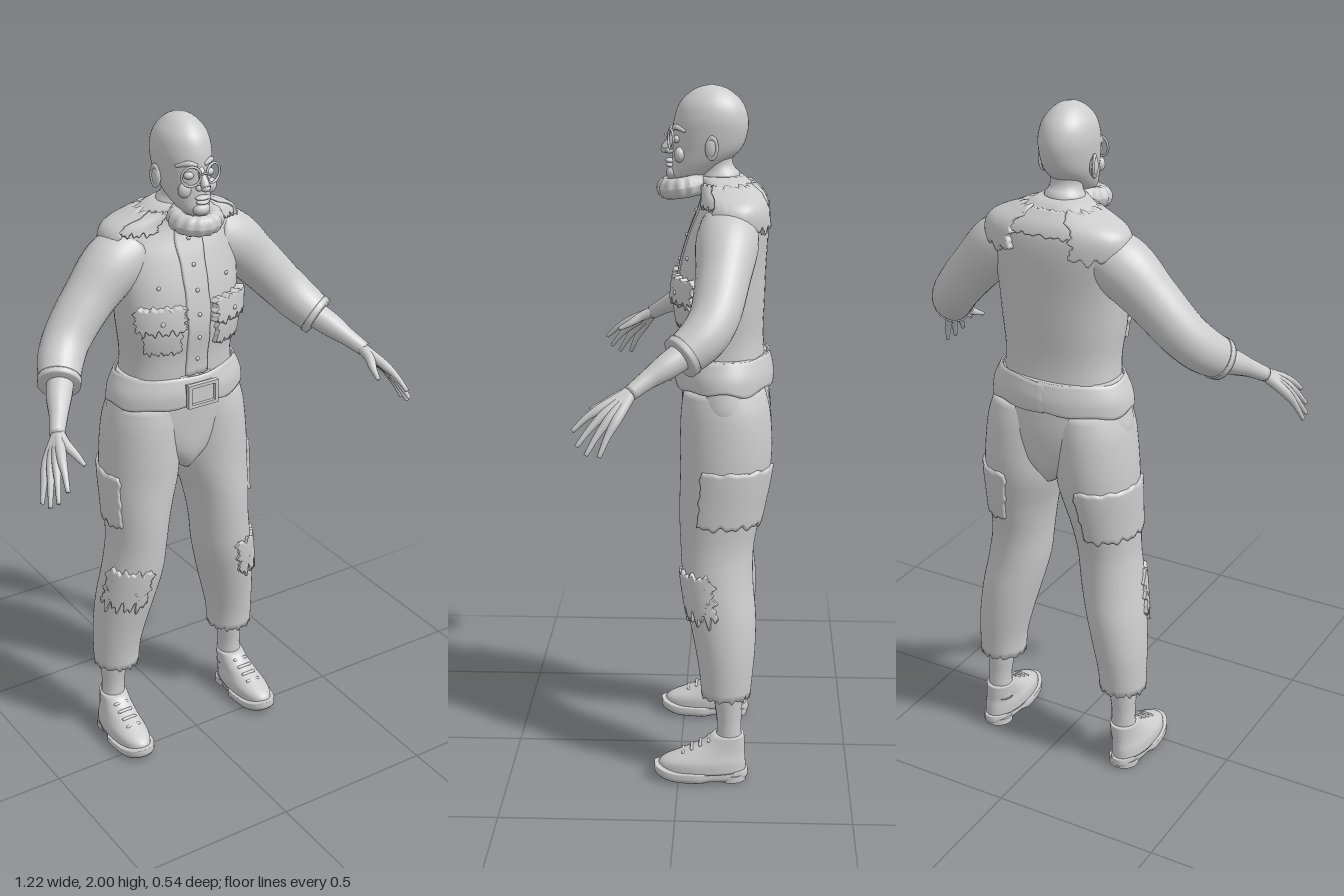
import * as THREE from 'three';

const material = new THREE.MeshStandardMaterial({ color: 0xcccccc });
material.name = 'light grey';

// Quad grid from a point function; wrap joins the first and last column
function grid(nu, nv, f, wrap = false) {
  const pos = [], idx = [], cols = wrap ? nu : nu + 1;
  for (let j = 0; j <= nv; j++) for (let i = 0; i < cols; i++) pos.push(...f(i, j));
  for (let j = 0; j < nv; j++) for (let i = 0; i < nu; i++) {
    const k = (i + 1) % cols, a = j * cols + i, b = j * cols + k;
    idx.push(a, b, b + cols, a, b + cols, a + cols);
  }
  const g = new THREE.BufferGeometry();
  g.setAttribute('position', new THREE.Float32BufferAttribute(pos, 3));
  g.setIndex(idx);
  g.computeVertexNormals();
  return g;
}

// Smooth body profile from sections [y, cx, cz, rx, rz], lowest first
function profile(s, e = 1) {
  const at = y => {
    let i = 0;
    while (i < s.length - 2 && y > s[i + 1][0]) i++;
    const a = s[i], b = s[i + 1], h = b[0] - a[0], t = Math.min(1, Math.max(0, (y - a[0]) / h));
    const p = s[Math.max(0, i - 1)], n = s[Math.min(s.length - 1, i + 2)];
    return [1, 2, 3, 4].map(k => {
      const m0 = (b[k] - p[k]) / (b[0] - p[0]) * h, m1 = (n[k] - a[k]) / (n[0] - a[0]) * h;
      const t2 = t * t, t3 = t2 * t;
      return (2 * t3 - 3 * t2 + 1) * a[k] + (t3 - 2 * t2 + t) * m0 + (3 * t2 - 2 * t3) * b[k] + (t3 - t2) * m1;
    });
  };
  const pw = v => Math.sign(v) * Math.abs(v) ** e;
  const point = (t, y, off = 0) => {
    const [cx, cz, rx, rz] = at(y);
    return [cx + (rx + off) * pw(Math.sin(t)), y, cz + (rz + off) * pw(Math.cos(t))];
  };
  return { point, at, low: s[0][0], high: s[s.length - 1][0] };
}

const ragged = t => Math.sin(t * 13) * 0.5 + Math.sin(t * 23 + 1) * 0.5;

// Closed skin of a profile, capped at both ends, with an optional ragged hem
function skin(p, nv = 36, hem = 0) {
  const nu = 48;
  return grid(nu, nv + 2, (i, j) => {
    const v = Math.min(1, Math.max(0, (j - 1) / nv)), t = i / nu * Math.PI * 2;
    const y = p.low + (p.high - p.low) * v;
    if (j === 0 || j === nv + 2) { const c = p.at(y); return [c[0], y, c[1]]; }
    const q = p.point(t, y);
    if (j === 1) q[1] += hem * ragged(t);
    return q;
  }, true);
}

// Raised cloth piece following a profile, with a folded, frayed edge
function patch(p, t0, t1, y0, y1, off, jag = 0, nu = 44, nv = 16) {
  const c = (i, n) => Math.min(1, Math.max(0, (i - 1) / (n - 2)));
  return grid(nu, nv, (i, j) => {
    const edge = i === 0 || j === 0 || i === nu || j === nv, u = c(i, nu), v = c(j, nv);
    const t = t0 + (t1 - t0) * u + jag * 4 * ragged(v * 1.3) * (2 * u - 1);
    const y = y0 + (y1 - y0) * v + jag * ragged(u * 2.2) * (1 - v) + jag * 0.4 * ragged(u * 1.7 + 2) * v;
    return p.point(t, y, edge ? -0.004 : off);
  });
}

// Tapered round limb through points [x, y, z, radius]
function limb(pts, nu = 16, nv = 20) {
  const curve = new THREE.CatmullRomCurve3(pts.map(p => new THREE.Vector3(p[0], p[1], p[2])));
  const rad = new THREE.CatmullRomCurve3(pts.map(p => new THREE.Vector3(p[3], 0, 0)));
  const up = new THREE.Vector3(0.3, 1, 0.2);
  return grid(nu, nv + 2, (i, j) => {
    const v = Math.min(1, Math.max(0, (j - 1) / nv)), c = curve.getPoint(v), d = curve.getTangent(v);
    const r = j === 0 || j === nv + 2 ? 0 : rad.getPoint(v).x;
    const a = new THREE.Vector3().crossVectors(up, d).normalize(), b = new THREE.Vector3().crossVectors(d, a);
    const t = i / nu * Math.PI * 2;
    return c.addScaledVector(a, r * Math.cos(t)).addScaledVector(b, r * Math.sin(t)).toArray();
  }, true);
}

function mirrored(g) {
  const m = g.clone().scale(-1, 1, 1), ix = m.index;
  for (let i = 0; i < ix.count; i += 3) {
    const a = ix.getX(i);
    ix.setX(i, ix.getX(i + 1));
    ix.setX(i + 1, a);
  }
  m.computeVertexNormals();
  return m;
}

const ball = (x, y, z, a, b, c) => new THREE.SphereGeometry(1, 20, 14).scale(a, b, c).translate(x, y, z);

export function createModel() {
  const model = new THREE.Group();
  const add = (name, g) => {
    const m = new THREE.Mesh(g, material);
    m.name = name;
    model.add(m);
  };
  const both = (name, g) => { add(name + 'Left', g); add(name + 'Right', mirrored(g)); };

  // Shirt body
  const torso = profile([
    [1.2, 0, -0.125, 0.175, 0.12], [1.3, 0, -0.118, 0.17, 0.118], [1.4, 0, -0.113, 0.182, 0.126],
    [1.5, 0, -0.12, 0.19, 0.122], [1.6, 0, -0.137, 0.2, 0.11], [1.66, 0, -0.147, 0.205, 0.096],
    [1.695, 0, -0.145, 0.182, 0.085], [1.725, 0, -0.13, 0.11, 0.072], [1.75, 0, -0.115, 0.065, 0.06]], 0.85);
  add('shirt', skin(torso, 40));
  add('buttonPlacket', patch(torso, -0.15, 0.15, 1.25, 1.7, 0.005, 0.003, 12, 30));
  for (let i = 0; i < 6; i++) add('shirtButton', ball(...torso.point(0, 1.3 + i * 0.07, 0.006), 0.006, 0.006, 0.005));
  both('chestPocket', patch(torso, 0.26, 0.95, 1.335, 1.45, 0.013, 0.008));
  both('pocketFlap', patch(torso, 0.2, 1.05, 1.405, 1.475, 0.022, 0.012));
  both('pocketButton', ball(...torso.point(0.55, 1.435, 0.022), 0.007, 0.007, 0.005));
  both('chestStud', ball(...torso.point(0.55, 1.53, 0.001), 0.006, 0.006, 0.005));

  // Shoulder yoke and back strip
  both('shoulderYoke', patch(torso, 1.1, 2.75, 1.615, 1.73, 0.013, 0.014));
  both('frontYoke', patch(torso, 0.4, 1.3, 1.675, 1.73, 0.009, 0.008));
  add('backStrip', patch(torso, 2.7, 3.58, 1.67, 1.73, 0.007, 0.005));

  // Sleeves and bare forearms
  both('sleeve', limb([[0.12, 1.615, -0.135, 0.08], [0.19, 1.583, -0.132, 0.087], [0.275, 1.505, -0.122, 0.075],
    [0.36, 1.412, -0.1, 0.068], [0.4, 1.365, -0.068, 0.065], [0.433, 1.325, -0.018, 0.058]], 28, 28));
  both('cuff', limb([[0.427, 1.331, -0.027, 0.062], [0.437, 1.321, -0.012, 0.06]], 28, 3));
  both('forearm', limb([[0.41, 1.345, -0.045, 0.04], [0.455, 1.305, 0.02, 0.036], [0.485, 1.275, 0.07, 0.026],
    [0.515, 1.245, 0.115, 0.021]]));

  // Hands with four fingers and a thumb
  const wrist = [0.508, 1.25, 0.11, 0.017];
  const tips = [[0.565, 1.155, 0.263], [0.587, 1.12, 0.25], [0.6, 1.1, 0.225], [0.606, 1.097, 0.19]];
  tips.forEach((tip, i) => {
    const base = [0.54 + i * 0.009, 1.213 - i * 0.009, 0.186 - i * 0.013];
    const mid = base.map((b, k) => (b + tip[k]) / 2 + (k === 1 ? 0.006 : 0));
    both('finger', limb([wrist, [...base, 0.014], [...mid, 0.0095], [...tip, 0.006]], 10, 14));
  });
  both('thumb', limb([wrist, [0.508, 1.232, 0.15, 0.015], [0.497, 1.212, 0.185, 0.011], [0.49, 1.195, 0.22, 0.006]], 10, 14));

  // Trousers
  const hips = profile([[0.925, 0, -0.13, 0.02, 0.085], [0.96, 0, -0.13, 0.07, 0.106], [1.0, 0, -0.13, 0.13, 0.118],
    [1.08, 0, -0.13, 0.215, 0.126], [1.16, 0, -0.126, 0.212, 0.127], [1.25, 0, -0.123, 0.18, 0.122]]);
  add('trouserSeat', skin(hips));
  const leg = profile([[0.26, 0.21, -0.138, 0.07, 0.072], [0.32, 0.208, -0.138, 0.072, 0.077], [0.4, 0.198, -0.135, 0.08, 0.087],
    [0.5, 0.18, -0.125, 0.088, 0.098], [0.6, 0.16, -0.112, 0.092, 0.102], [0.7, 0.147, -0.109, 0.09, 0.106],
    [0.8, 0.138, -0.117, 0.098, 0.118], [0.92, 0.122, -0.13, 0.116, 0.129], [1.0, 0.118, -0.132, 0.116, 0.132],
    [1.1, 0.11, -0.13, 0.112, 0.127], [1.16, 0.1, -0.126, 0.105, 0.115]]);
  both('trouserLeg', skin(leg, 44, 0.009));
  both('thighPocket', patch(leg, 1.05, 3.2, 0.775, 0.94, 0.008, 0.009));
  both('kneePatch', patch(leg, -0.05, 1.45, 0.505, 0.63, 0.009, 0.026));

  // Waistband and buckle
  const waist = profile([[1.15, 0, -0.124, 0.217, 0.14], [1.2, 0, -0.123, 0.21, 0.141], [1.25, 0, -0.123, 0.187, 0.13]]);
  add('waistband', patch(waist, -3.2, 3.2, 1.16, 1.248, 0.002, 0.009, 120, 12));
  const corners = (w, h) => [[-w, -h], [w, -h], [w, h], [-w, h]].map(p => new THREE.Vector2(...p));
  const frame = new THREE.Shape(corners(0.05, 0.036));
  frame.holes.push(new THREE.Path(corners(0.039, 0.026).reverse()));
  add('beltBuckle', new THREE.ExtrudeGeometry(frame, { depth: 0.014, bevelEnabled: false }).translate(0, 1.2, 0.026));
  add('bucklePlate', new THREE.BoxGeometry(0.09, 0.06, 0.02).translate(0, 1.2, 0.02));

  // Ankles and shoes
  both('ankle', limb([[0.213, 0.36, -0.14, 0.045], [0.215, 0.25, -0.145, 0.042], [0.219, 0.17, -0.148, 0.036], [0.22, 0.09, -0.148, 0.04]]));
  const sole = skin(profile([[0.004, 0.228, -0.066, 0.056, 0.132], [0.014, 0.228, -0.066, 0.062, 0.139],
    [0.034, 0.228, -0.066, 0.062, 0.138]], 0.85), 6), sp = sole.attributes.position;
  for (let i = 0; i < sp.count; i++) {
    const z = sp.getZ(i), x = sp.getX(i);
    sp.setY(i, sp.getY(i) + 0.014 * Math.max(0, z / 0.07) ** 2);
    if (z < -0.07) sp.setX(i, x - (x - 0.228) * 0.2);
  }
  sole.computeVertexNormals();
  both('shoeSole', sole);
  both('shoeHeel', new THREE.CylinderGeometry(0.045, 0.045, 0.02, 24).translate(0.226, 0.01, -0.155));
  both('shoeUpper', skin(profile([[0.03, 0.228, -0.068, 0.055, 0.13], [0.06, 0.227, -0.073, 0.055, 0.124],
    [0.085, 0.225, -0.1, 0.048, 0.094], [0.11, 0.222, -0.128, 0.044, 0.066], [0.14, 0.22, -0.148, 0.041, 0.045]], 0.95), 16));
  for (let i = 0; i < 4; i++)
    both('shoeLace', new THREE.CapsuleGeometry(0.005, 0.04, 4, 8).rotateZ(Math.PI / 2).translate(0.225, 0.084 + i * 0.013, -0.014 - i * 0.025));

  // Head and neck
  add('neck', limb([[0, 1.66, -0.125, 0.068], [0, 1.75, -0.105, 0.058], [0, 1.84, -0.09, 0.058]], 24));
  add('head', skin(profile([[1.733, 0, -0.01, 0.022, 0.028], [1.75, 0, -0.02, 0.042, 0.05], [1.78, 0, -0.045, 0.058, 0.073],
    [1.82, 0, -0.07, 0.069, 0.095], [1.87, 0, -0.08, 0.076, 0.105], [1.91, 0, -0.083, 0.077, 0.103],
    [1.95, 0, -0.083, 0.067, 0.088], [1.98, 0, -0.083, 0.044, 0.058], [1.994, 0, -0.083, 0.024, 0.031], [2, 0, -0.083, 0.001, 0.001]]), 50));
  both('ear', ball(0.076, 1.83, -0.085, 0.01, 0.03, 0.018));
  both('earRim', new THREE.TorusGeometry(0.017, 0.005, 8, 20).scale(0.85, 1.6, 1).rotateY(Math.PI / 2 - 0.25).translate(0.079, 1.832, -0.087));

  // Face
  add('noseBridge', limb([[0, 1.87, 0.015, 0.01], [0, 1.845, 0.033, 0.011], [0, 1.822, 0.048, 0.013]], 12, 8));
  add('noseTip', ball(0, 1.82, 0.044, 0.014, 0.011, 0.015));
  both('nostril', ball(0.013, 1.818, 0.034, 0.009, 0.008, 0.011));
  both('cheek', ball(0.04, 1.81, 0.004, 0.02, 0.022, 0.016));
  both('eye', ball(0.032, 1.852, 0.012, 0.015, 0.011, 0.012));
  both('brow', limb([[0.012, 1.878, 0.022, 0.006], [0.035, 1.886, 0.015, 0.008], [0.06, 1.876, -0.012, 0.004]], 8, 8));
  add('upperLip', ball(0, 1.79, 0.033, 0.024, 0.007, 0.013));
  add('lowerLip', ball(0, 1.777, 0.032, 0.02, 0.007, 0.013));
  add('chin', ball(0, 1.755, 0.024, 0.026, 0.018, 0.02));

  // Round spectacles
  both('spectacleRim', new THREE.TorusGeometry(0.027, 0.0035, 8, 32).rotateY(0.3).translate(0.035, 1.853, 0.029));
  add('spectacleBridge', limb([[-0.01, 1.858, 0.04, 0.003], [0, 1.862, 0.046, 0.003], [0.01, 1.858, 0.04, 0.003]], 8, 6));

  // Thick rolled collar, slightly ribbed
  const ring = new THREE.TorusGeometry(0.053, 0.026, 14, 72), rp = ring.attributes.position;
  for (let i = 0; i < rp.count; i++) {
    const a = Math.atan2(rp.getY(i), rp.getX(i)), k = 1 + 0.035 * Math.sin(a * 14);
    rp.setXYZ(i, rp.getX(i) * k, rp.getY(i) * k * 0.95, rp.getZ(i) * 1.15);
  }
  ring.computeVertexNormals();
  add('collar', ring.rotateX(Math.PI / 2 + 0.15).translate(0, 1.72, -0.006));

  return model;
}
